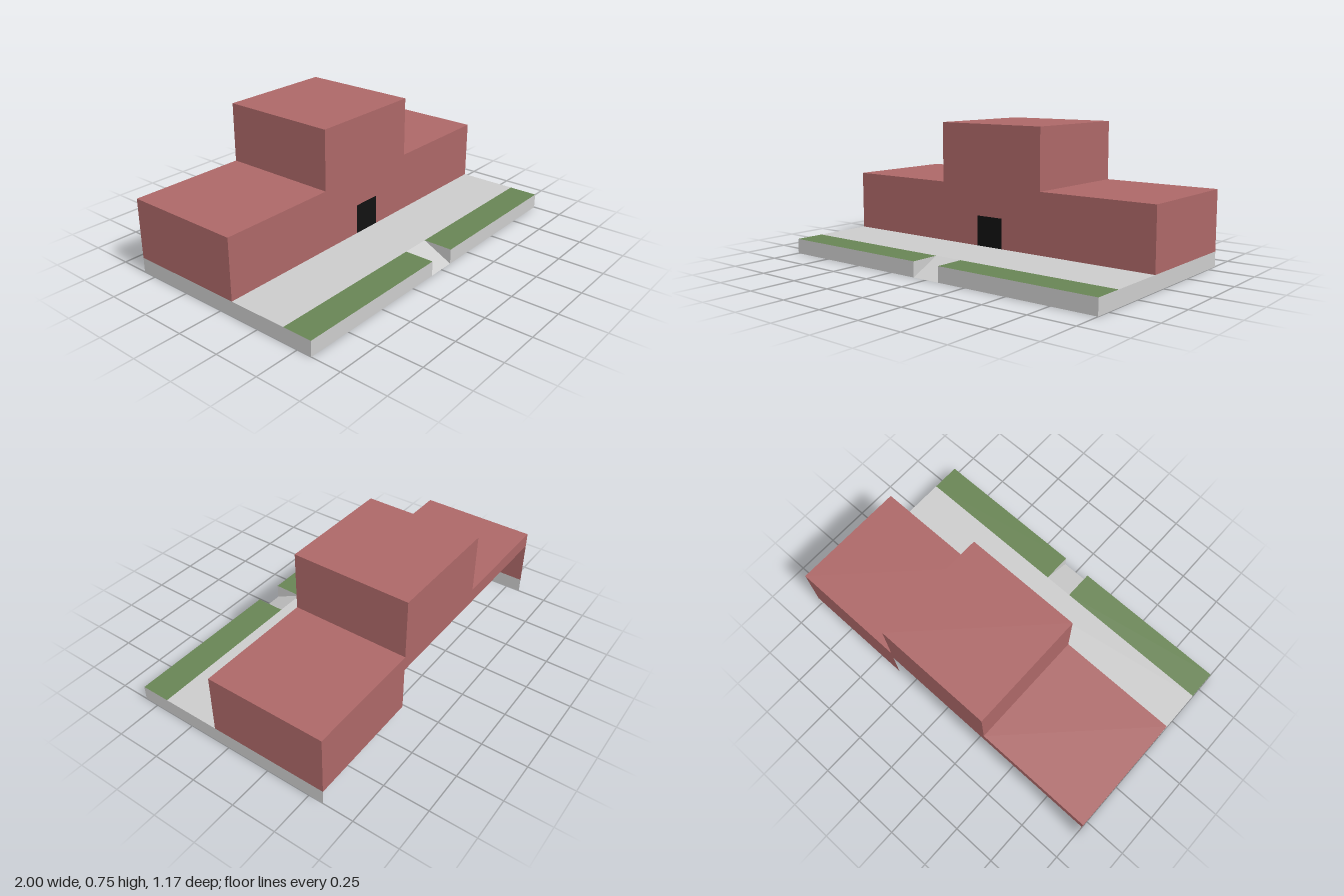
import * as THREE from 'three';

const U = 1 / 12; // building grid: all sizes below are in twelfths
const material = (color) => new THREE.MeshStandardMaterial({ color, side: THREE.DoubleSide, flatShading: true });

export function createModel() {
  const model = new THREE.Group();
  const brick = material(0xac6767), grey = material(0xcccccc);
  const grass = material(0x688454), black = material(0x111111);

  const add = (name, geometry, mat) => {
    const mesh = new THREE.Mesh(geometry, mat);
    mesh.name = name;
    model.add(mesh);
  };
  // Upright panel facing +z, or -z when back is true
  const wallZ = (name, mat, x0, x1, y0, y1, z, back = false) => {
    const g = new THREE.PlaneGeometry((x1 - x0) * U, (y1 - y0) * U);
    if (back) g.rotateY(Math.PI);
    add(name, g.translate((x0 + x1) / 2 * U, (y0 + y1) / 2 * U, z * U), mat);
  };
  // Upright panel facing along x, in the direction of side
  const wallX = (name, mat, x, side, y0, y1, z0, z1) => {
    const g = new THREE.PlaneGeometry((z1 - z0) * U, (y1 - y0) * U).rotateY(side * Math.PI / 2);
    add(name, g.translate(x * U, (y0 + y1) / 2 * U, (z0 + z1) / 2 * U), mat);
  };
  // Level panel facing up
  const level = (name, mat, x0, x1, y, z0, z1) => {
    const g = new THREE.PlaneGeometry((x1 - x0) * U, (z1 - z0) * U).rotateX(-Math.PI / 2);
    add(name, g.translate((x0 + x1) / 2 * U, y * U, (z0 + z1) / 2 * U), mat);
  };
  const shape = (points) => new THREE.ShapeGeometry(
    new THREE.Shape(points.map(([x, y]) => new THREE.Vector2(x * U, y * U))));

  // Stepped front wall with a doorway notch, and the door filling it
  add('frontWall', shape([
    [-12, 1], [-1, 1], [-1, 3], [1, 3], [1, 1], [12, 1],
    [12, 5], [4, 5], [4, 9], [-4, 9], [-4, 5], [-12, 5],
  ]).translate(0, 0, U), brick);
  wallZ('door', black, -1, 1, 1, 3, 1);

  // Roofs, and the partly open back
  level('towerRoof', brick, -4, 4, 9, -7, 1);
  wallZ('towerBackWall', brick, -4, 4, 5, 9, -7, true);
  wallZ('leftWingBackWall', brick, 4, 12, 1, 5, -7, true);
  wallZ('backLintel', brick, -12, 4, 4, 5, -7, true);

  // Forecourt and sloping ramp
  level('forecourt', grey, -12, 12, 1, 1, 5);
  const slope = new THREE.PlaneGeometry(2 * U, Math.sqrt(5) * U)
    .rotateX(-Math.PI / 2 + Math.atan(0.5)).translate(0, U / 2, 6 * U);
  add('ramp', slope, grey);

  // Mirrored parts
  for (const [label, s] of [['left', 1], ['right', -1]]) {
    const a = (p, q) => (s > 0 ? [p, q] : [-q, -p]);
    level(label + 'WingRoof', brick, ...a(4, 12), 5, -7, 1);
    wallX(label + 'TowerWall', brick, 4 * s, s, 5, 9, -7, 1);
    wallX(label + 'WingWall', brick, 12 * s, s, 1, 5, -7, 1);
    wallX(label + 'BaseWall', grey, 12 * s, s, 0, 1, -7, 7);
    wallZ(label + 'BaseFront', grey, ...a(1, 12), 0, 1, 7);
    level(label + 'Lawn', grass, ...a(1, 12), 1, 5, 7);
    // Triangular cheek between lawn and ramp
    add(label + 'RampCheek', shape([[-7, 0], [-5, 1], [-7, 1]])
      .rotateY(Math.PI / 2).translate(s * U, 0, 0), grey);
  }
  return model;
}
